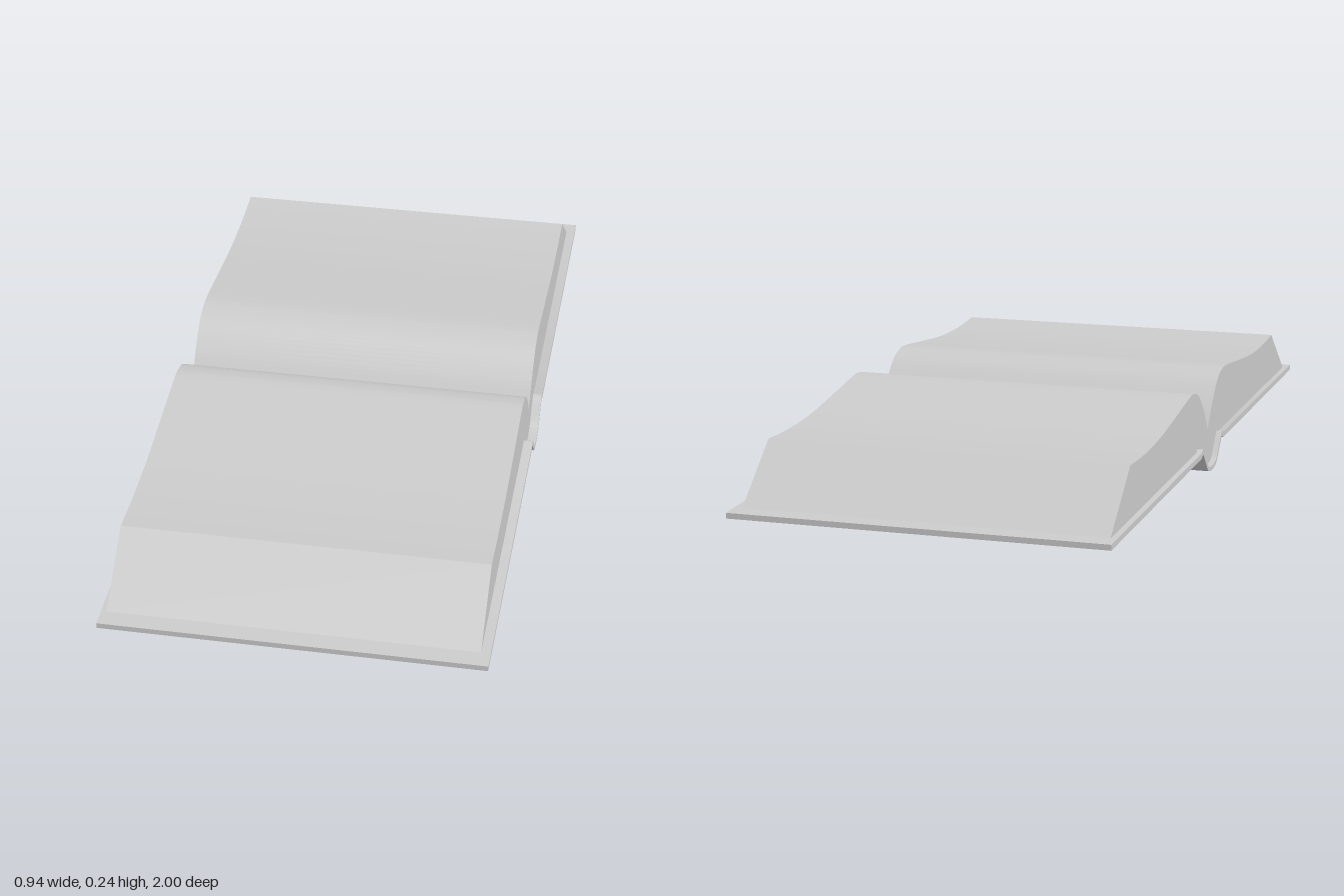
import * as THREE from 'three';
import { toCreasedNormals } from 'three/addons/utils/BufferGeometryUtils.js';

const material = new THREE.MeshStandardMaterial({ color: 0xcccccc });

// Smooth curve through a few [z, y] points
const curve = (pts, n = 24) =>
  new THREE.SplineCurve(pts.map(([z, y]) => new THREE.Vector2(z, y))).getPoints(n);
const point = (z, y) => new THREE.Vector2(z, y);

// Outline running from the outer edge (+z) to the middle, then mirrored to -z
const mirrored = (half) => [
  ...half,
  ...half.slice(0, -1).reverse().map((p) => point(-p.x, p.y)),
];

// Closed profile between an upper and a lower half outline, extruded along x
function extrudeProfile(name, upper, lower, x0, x1) {
  const shape = new THREE.Shape([...mirrored(upper), ...mirrored(lower).reverse()]);
  const geometry = new THREE.ExtrudeGeometry(shape, { depth: x1 - x0, bevelEnabled: false });
  geometry.translate(0, 0, x0);
  geometry.rotateY(Math.PI / 2);
  const mesh = new THREE.Mesh(toCreasedNormals(geometry, 0.5), material);
  mesh.name = name;
  return mesh;
}

export function createModel() {
  const book = new THREE.Group();
  book.name = 'openBook';

  // Cover: two flat boards joined by a hinge ridge and a sagging spine
  const spineInside = [[0.125, 0.073], [0.104, 0.079], [0.085, 0.062], [0.05, 0.024], [0.025, 0.013], [0, 0.011]];
  const spineOutside = [[0.125, 0.058], [0.104, 0.064], [0.085, 0.046], [0.05, 0.011], [0.025, 0.002], [0, 0]];
  book.add(extrudeProfile(
    'cover',
    [point(1, 0.072), ...curve(spineInside)],
    [point(1, 0.058), ...curve(spineOutside)],
    -0.47, 0.47,
  ));

  // Pages: slanted fore edge, wavy top and a sharp gutter in the middle
  const pageTop = [
    [0.785, 0.203], [0.69, 0.198], [0.59, 0.198], [0.48, 0.204], [0.32, 0.222],
    [0.2, 0.236], [0.15, 0.234], [0.1, 0.215], [0.045, 0.165], [0, 0.107],
  ];
  const pageBottom = spineInside.map(([z, y]) => [z, y + 0.001]);
  book.add(extrudeProfile(
    'pages',
    [point(0.955, 0.074), ...curve(pageTop, 54)],
    [point(0.95, 0.073), ...curve(pageBottom)],
    -0.456, 0.447,
  ));

  return book;
}
